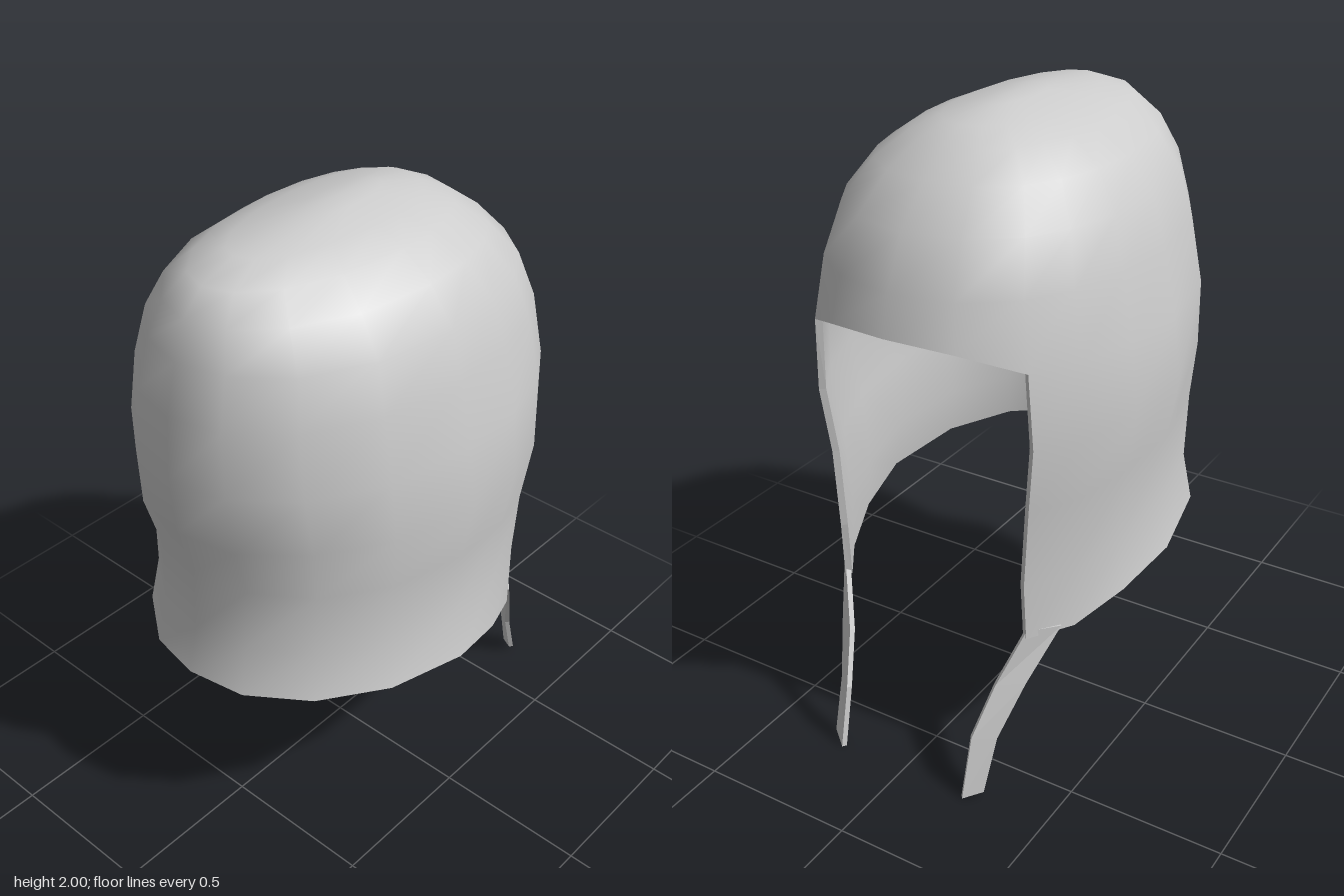
import * as THREE from 'three';

const cloth = new THREE.MeshStandardMaterial({ color: 0xcccccc, side: THREE.DoubleSide });
cloth.name = 'grey cloth';

const COLS = 18, EDGE = 7, BROW = 4, THICK = 0.022, MID = 0.03;
const deg = Math.PI / 180;

// Column angles on one half, from the middle of the back round to the brow
const backAngles = [0, 20, 42, 65, 90];
const frontAngles = [16, 33, 49, 70, 90];
const hemHeights = [0.67, 0.66, 0.655, 0.64, 0.61, 0.565, 0.515, 0.51];
const browLift = [0, 0.065, 0.08];

// Each ring: height, half width, back z, front z (face edge below the brow), front taper
const rings = [
  [0.64, 0.535, 0.685, -0.50, 0.12],
  [0.80, 0.505, 0.65, -0.51, 0.06],
  [1.02, 0.515, 0.64, -0.51, 0.03],
  [1.20, 0.545, 0.69, -0.525, 0.02],
  [1.40, 0.52, 0.705, -0.69, 0],
  [1.60, 0.478, 0.69, -0.66, 0],
  [1.75, 0.435, 0.65, -0.59, 0],
  [1.86, 0.355, 0.61, -0.48, 0],
  [1.93, 0.255, 0.54, -0.385, 0],
  [1.97, 0.16, 0.42, -0.30, 0],
  [1.995, 0.06, 0.14, -0.16, 0],
];

function shellPoint(row, column) {
  const signed = column > COLS / 2 ? column - COLS : column;
  let c = Math.abs(signed);
  if (row < BROW) c = Math.min(c, EDGE);
  let [y, w, back, front, taper] = rings[row];
  let x, z;
  if (c <= 4) {
    const a = backAngles[c] * deg;
    const pinch = row === 3 && (c === 2 || c === 3) ? 0.97 : 1;
    x = w * Math.sin(a) * pinch;
    z = MID + (back - MID) * Math.cos(a) * pinch;
  } else {
    const a = frontAngles[c - 5] * deg;
    const s = Math.sin(a) ** 0.87;
    const depth = row < BROW ? (MID - front) / 0.784 : MID - front;
    x = w * Math.max(0, Math.cos(a)) ** 0.87 * (1 - taper * s);
    z = MID - depth * s;
  }
  if (row < BROW) y += (hemHeights[c] - 0.64) * (1.4 - y) / 0.76;
  if (row === BROW && c > EDGE) y += browLift[c - EDGE];
  return [Math.sign(signed) * x, y, z];
}

function buildGeometry(positions, index) {
  const g = new THREE.BufferGeometry();
  g.setAttribute('position', new THREE.Float32BufferAttribute(positions, 3));
  if (index) g.setIndex(index);
  g.computeVertexNormals();
  return g;
}

const id = (row, c) => row * COLS + ((c + COLS) % COLS);

// Outer surface: open skirt below the brow, closed dome above
function outerShell() {
  const positions = [], index = [];
  for (let r = 0; r < rings.length; r++)
    for (let c = 0; c < COLS; c++) positions.push(...shellPoint(r, c));
  positions.push(0, 2, 0);
  const last = rings.length - 1, pole = rings.length * COLS;
  for (let r = 0; r < last; r++) {
    const [from, to] = r < BROW ? [-EDGE, EDGE] : [0, COLS];
    for (let c = from; c < to; c++) {
      const a = id(r, c), b = id(r, c + 1), d = id(r + 1, c), e = id(r + 1, c + 1);
      index.push(a, b, e, a, e, d);
    }
  }
  for (let c = 0; c < COLS; c++) index.push(id(last, c), id(last, c + 1), pole);
  return buildGeometry(positions, index);
}

// Lining: the outer surface moved inward and turned round
function lining(outer) {
  const p = outer.attributes.position, n = outer.attributes.normal;
  const positions = [], index = [...outer.index.array].reverse();
  for (let i = 0; i < p.count; i++)
    positions.push(p.getX(i) - n.getX(i) * THICK, p.getY(i) - n.getY(i) * THICK, p.getZ(i) - n.getZ(i) * THICK);
  return buildGeometry(positions, index);
}

// Narrow border joining the two surfaces along the hem, face edges and brow
function border(outer, inner) {
  const loop = [];
  for (let c = -EDGE; c <= EDGE; c++) loop.push(id(0, c));
  for (let r = 1; r <= BROW; r++) loop.push(id(r, EDGE));
  for (let c = EDGE + 1; c <= COLS - EDGE; c++) loop.push(id(BROW, c));
  for (let r = BROW - 1; r > 0; r--) loop.push(id(r, -EDGE));
  const positions = [];
  const at = (g, i) => new THREE.Vector3().fromBufferAttribute(g.attributes.position, i).toArray();
  loop.forEach((a, k) => {
    const b = loop[(k + 1) % loop.length];
    const A = at(outer, a), B = at(outer, b), C = at(inner, a), D = at(inner, b);
    positions.push(...B, ...A, ...C, ...B, ...C, ...D);
  });
  return buildGeometry(positions);
}

// Ribbon strap: rear and front edge at each station, with a little thickness
function strap(side) {
  const stations = [
    [[0.405, 0.53, -0.41], [0.335, 0.535, -0.495]],
    [[0.345, 0.36, -0.515], [0.272, 0.36, -0.572]],
    [[0.295, 0.19, -0.60], [0.235, 0.20, -0.65]],
    [[0.283, 0.02, -0.66], [0.23, 0, -0.70]],
  ];
  const sections = stations.map(([a, b]) => {
    const inset = ([x, y, z]) => [x - 0.01, y, z + 0.012];
    return [a, b, inset(b), inset(a)].map(([x, y, z]) => [side * x, y, z]);
  });
  const positions = [];
  const quad = (a, b, c, d) => {
    if (side > 0) positions.push(...a, ...b, ...c, ...a, ...c, ...d);
    else positions.push(...a, ...c, ...b, ...a, ...d, ...c);
  };
  for (let i = 0; i < sections.length - 1; i++)
    for (let k = 0; k < 4; k++) {
      const n = (k + 1) % 4, s = sections[i], t = sections[i + 1];
      quad(s[k], s[n], t[n], t[k]);
    }
  quad(...sections[0].slice().reverse());
  quad(...sections[sections.length - 1]);
  return buildGeometry(positions);
}

export function createModel() {
  const group = new THREE.Group();
  group.name = 'cap';
  const add = (name, geometry) => {
    const mesh = new THREE.Mesh(geometry, cloth);
    mesh.name = name;
    group.add(mesh);
  };
  const outer = outerShell(), inner = lining(outer);
  add('capShell', outer);
  add('capLining', inner);
  add('capBorder', border(outer, inner));
  add('leftStrap', strap(1));
  add('rightStrap', strap(-1));
  return group;
}
